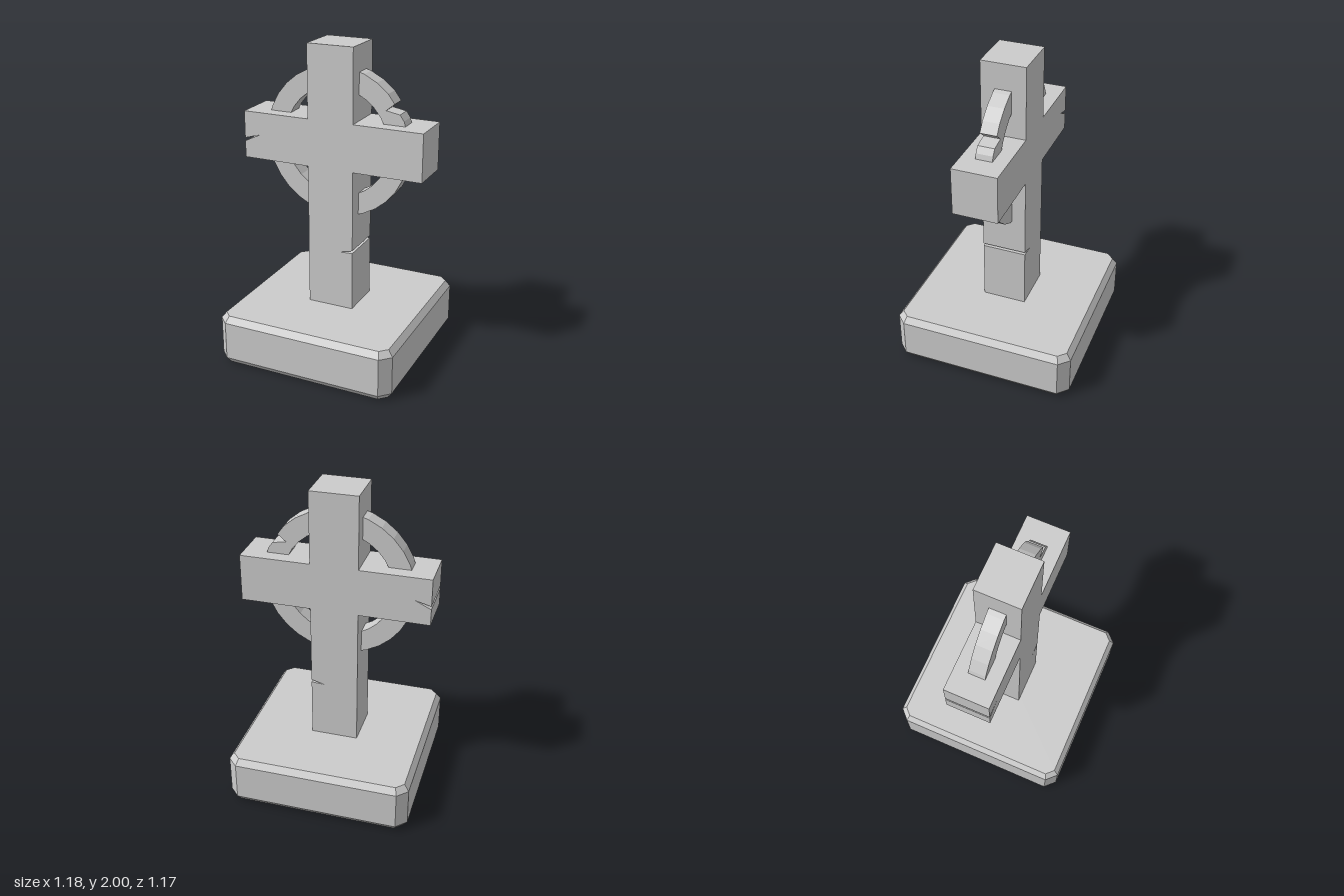
import * as THREE from 'three';

const material = new THREE.MeshStandardMaterial({ color: 0xcccccc, flatShading: true });
const toShape = (pts) => new THREE.Shape(pts.map(([x, y]) => new THREE.Vector2(x, y)));

// Extrude a front outline, centred in depth
function slab(name, shape, depth) {
  const geo = new THREE.ExtrudeGeometry(shape, { depth, bevelEnabled: false, curveSegments: 1 });
  geo.translate(0, 0, -depth / 2 - 0.003);
  const mesh = new THREE.Mesh(geo, material);
  mesh.name = name;
  return mesh;
}

// Square plinth with cut corners and bevelled top and bottom edges
function makeBase() {
  const a = 0.553, c = 0.507;
  const shape = toShape([[a, -c], [a, c], [c, a], [-c, a], [-a, c], [-a, -c], [-c, -a], [c, -a]]);
  const geo = new THREE.ExtrudeGeometry(shape, {
    depth: 0.245, bevelEnabled: true, bevelSize: 0.03, bevelThickness: 0.04, bevelSegments: 1,
  });
  geo.rotateX(-Math.PI / 2);
  geo.translate(0, 0.04, 0);
  const mesh = new THREE.Mesh(geo, material);
  mesh.name = 'base';
  return mesh;
}

// Upright and arms in one outline, with a crack in the shaft and one in the arm end
function makeCross() {
  const l = -0.152, r = 0.148, low = 1.24, high = 1.54;
  return slab('cross', toShape([
    [l, 0.3], [r, 0.3],
    [r, 0.709], [0.06, 0.704], [r, 0.726],
    [r, low], [0.59, low], [0.59, high], [r, high],
    [r, 2], [l, 2],
    [l, high], [-0.593, high],
    [-0.593, 1.366], [-0.49, 1.395], [-0.593, 1.346],
    [-0.593, low], [l, low],
  ]), 0.28);
}

// Faceted ring with a chip broken out of its upper left part
function makeRing() {
  const n = 32, cy = 1.39;
  const point = (radius, k) => {
    const t = (k / n) * Math.PI * 2;
    return [radius * Math.cos(t) - 0.002, cy + radius * Math.sin(t)];
  };
  const outer = [], inner = [];
  for (let k = 0; k < n; k++) {
    if (k === 3) outer.push([0.41, 1.608], [0.322, 1.624], [0.375, 1.668]);
    else outer.push(point(0.474, k));
    inner.push(point(0.345, k));
  }
  const shape = toShape(outer);
  shape.holes.push(toShape(inner.reverse()));
  return slab('ring', shape, 0.104);
}

export function createModel() {
  const model = new THREE.Group();
  model.name = 'ringedCross';
  model.add(makeBase(), makeCross(), makeRing());
  return model;
}
